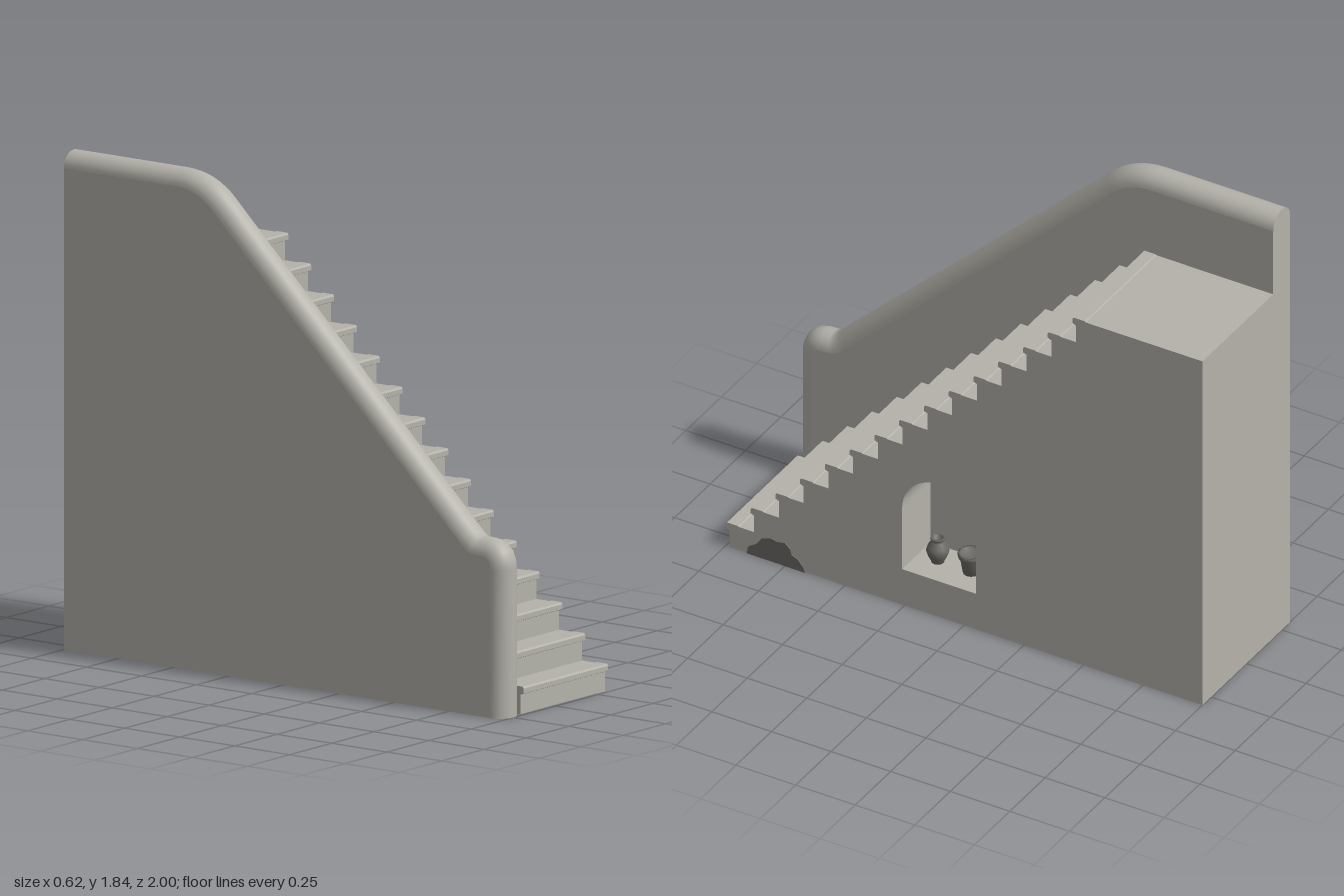
import * as THREE from 'three';

const stone = new THREE.MeshStandardMaterial({ color: 0xb4b2aa });
stone.name = 'stone';
const darkStone = new THREE.MeshStandardMaterial({ color: 0x6b6a65 });
darkStone.name = 'dark stone';

const V = (z, y) => new THREE.Vector2(z, y);

function addMesh(parent, name, geometry, material = stone) {
  const mesh = new THREE.Mesh(geometry, material);
  mesh.name = name;
  parent.add(mesh);
  return mesh;
}

// Extrudes a (z, y) outline sideways from xMax towards -x
function slab(shape, xMax, depth) {
  const geo = new THREE.ExtrudeGeometry(shape, { depth, bevelEnabled: false, curveSegments: 12 });
  return geo.rotateY(-Math.PI / 2).translate(xMax, 0, 0);
}

// Side outline of the stair block, each step with a thin overhanging nosing
function stairShape() {
  const steps = 15, rise = 0.1, run = 0.1039;
  const pts = [V(-1, 0)];
  for (let i = 0; i < steps; i++) {
    const z = 1 - run * i, y = rise * (i + 1);
    pts.push(
      V(z - 0.015, y - rise), V(z - 0.015, y - 0.028), V(z, y - 0.022),
      V(z, y - 0.004), V(z - 0.005, y + 0.003), V(z - 0.052, y + 0.003), V(z - 0.055, y)
    );
  }
  pts.push(V(-1, steps * rise));
  return new THREE.Shape(pts);
}

// Arched opening of the niche
function archPath() {
  const path = new THREE.Path();
  path.moveTo(-0.05, 0.155);
  path.lineTo(0.26, 0.155);
  path.lineTo(0.26, 0.423);
  path.absarc(0.105, 0.423, 0.155, 0, Math.PI, false);
  path.lineTo(-0.05, 0.155);
  return path;
}

// Half-round coping swept along a (z, y) path
function copingGeometry(path, r, sides = 14) {
  const pos = [], idx = [], row = sides + 1;
  path.forEach((p, i) => {
    const a = path[Math.max(i - 1, 0)], b = path[Math.min(i + 1, path.length - 1)];
    const t1 = p.clone().sub(a).normalize(), t2 = b.clone().sub(p).normalize();
    const t = t1.add(t2).normalize();
    for (let j = 0; j <= sides; j++) {
      const ang = (Math.PI * j) / sides, s = r * Math.sin(ang);
      pos.push(r * Math.cos(ang), p.y - t.x * s, p.x + t.y * s);
      if (i < path.length - 1 && j < sides) {
        const k = i * row + j;
        idx.push(k, k + row, k + 1, k + 1, k + row, k + row + 1);
      }
    }
  });
  const geo = new THREE.BufferGeometry();
  geo.setAttribute('position', new THREE.Float32BufferAttribute(pos, 3));
  geo.setIndex(idx);
  geo.computeVertexNormals();
  return geo;
}

function createBalustrade() {
  const wall = new THREE.Group();
  wall.name = 'sideWall';
  const r = 0.06;
  const crest = new THREE.QuadraticBezierCurve(V(-0.325, 1.708), V(-0.395, 1.775), V(-0.495, 1.775));
  const path = [
    V(0.94, 0), V(0.94, 0.545), V(0.938, 0.564), V(0.932, 0.579), V(0.92, 0.589), V(0.905, 0.592),
    V(0.87, 0.593), V(0.84, 0.6), V(0.81, 0.622), V(0.79, 0.641), V(-0.3, 1.684),
    ...crest.getPoints(8), V(-0.53, 1.775), V(-1, 1.775),
  ];
  addMesh(wall, 'wallCore', slab(new THREE.Shape([...path, V(-1, 0)]), r, 2 * r));
  addMesh(wall, 'wallCoping', copingGeometry(path, r));
  // Flat half-round ends at the back and under the front post
  addMesh(wall, 'copingBackEnd',
    new THREE.CircleGeometry(r, 14, 0, Math.PI).rotateY(Math.PI).translate(0, 1.775, -1));
  addMesh(wall, 'postFoot',
    new THREE.CircleGeometry(r, 14, 0, Math.PI).rotateX(Math.PI / 2).translate(0, 0, 0.94));
  wall.position.x = -0.25;
  return wall;
}

// Turned vessel from (radius, height) pairs
function vessel(parent, name, profile, z) {
  const geo = new THREE.LatheGeometry(profile.map(([r, y]) => V(r, y)), 12);
  addMesh(parent, name, geo, darkStone).position.set(0.2, 0.155, z);
}

export function createModel() {
  const model = new THREE.Group();
  model.name = 'staircase';

  // Stair block: outer slice pierced by the niche, solid slice behind it
  const outer = stairShape();
  outer.holes.push(archPath());
  addMesh(model, 'stairsWithNiche', slab(outer, 0.31, 0.2));
  addMesh(model, 'stairsInner', slab(stairShape(), 0.11, 0.3));

  model.add(createBalustrade());

  // Pots standing in the niche
  vessel(model, 'urn', [
    [0, 0], [0.024, 0], [0.025, 0.008], [0.036, 0.026], [0.043, 0.048], [0.038, 0.068],
    [0.023, 0.086], [0.021, 0.094], [0.028, 0.1], [0.026, 0.105], [0.017, 0.104], [0.015, 0.09], [0, 0.085],
  ], 0.176);
  vessel(model, 'flowerpot', [
    [0, 0], [0.03, 0], [0.041, 0.068], [0.048, 0.069], [0.049, 0.085],
    [0.041, 0.085], [0.038, 0.068], [0, 0.066],
  ], 0.036);

  // Dark lumpy patch at the foot of the side face
  const patch = new THREE.Shape([
    V(0.91, 0), V(0.904, 0.032), V(0.872, 0.053), V(0.845, 0.088), V(0.81, 0.1), V(0.782, 0.094),
    V(0.75, 0.1), V(0.727, 0.08), V(0.722, 0.058), V(0.695, 0.046), V(0.674, 0.022), V(0.665, 0),
  ]);
  addMesh(model, 'basePatch', slab(patch, 0.314, 0.004), darkStone);

  return model;
}
